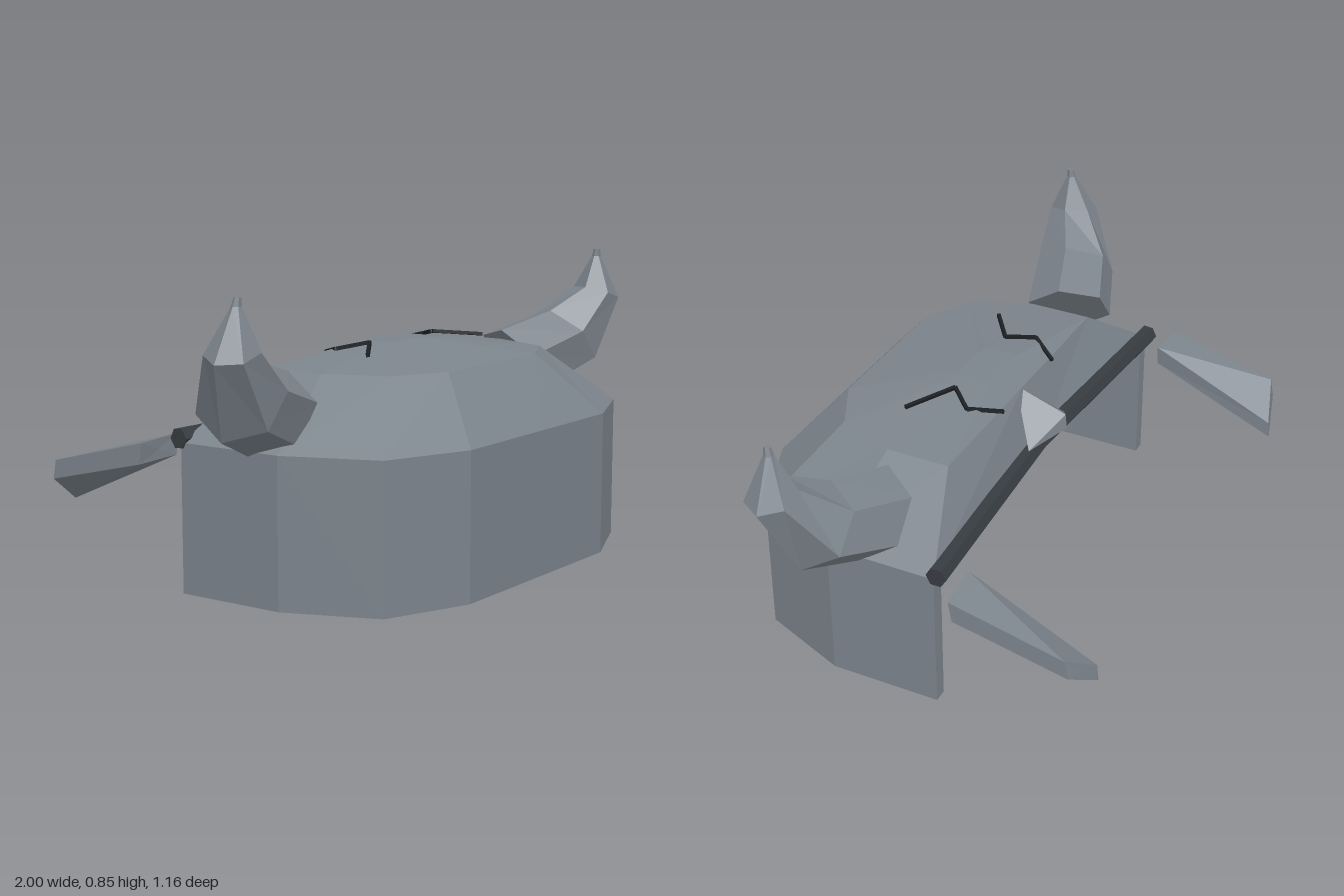
import * as THREE from 'three';
import { ConvexGeometry } from 'three/addons/geometries/ConvexGeometry.js';

const V = (x, y, z) => new THREE.Vector3(x, y, z);

// Closed loft through rings with equal point counts, wound to face outward
function loft(rings) {
  const n = rings[0].length, pts = rings.flat();
  const tris = [];
  for (let r = 0; r < rings.length - 1; r++) {
    for (let i = 0; i < n; i++) {
      const a = r * n + i, b = r * n + (i + 1) % n;
      tris.push([a, b, b + n], [a, b + n, a + n]);
    }
  }
  const cap = (r, flip) => {
    const c = rings[r].reduce((s, p) => s.add(p), V(0, 0, 0)).divideScalar(n);
    const k = pts.push(c) - 1;
    for (let i = 0; i < n; i++) {
      const a = r * n + i, b = r * n + (i + 1) % n;
      tris.push(flip ? [k, b, a] : [k, a, b]);
    }
  };
  cap(0, true);
  cap(rings.length - 1, false);
  let volume = 0;
  for (const [a, b, c] of tris) volume += pts[a].dot(pts[b].clone().cross(pts[c]));
  const out = [];
  for (const [a, b, c] of tris) {
    for (const i of volume < 0 ? [a, c, b] : [a, b, c]) out.push(...pts[i].toArray());
  }
  const g = new THREE.BufferGeometry();
  g.setAttribute('position', new THREE.Float32BufferAttribute(out, 3));
  g.computeVertexNormals();
  return g;
}

// Full ring from half a plan outline (front centre to back centre)
function mirroredRing(y, half) {
  const right = half.map(([x, z]) => V(x, y, z));
  const left = half.slice(1, -1).reverse().map(([x, z]) => V(-x, y, z));
  return [...right, ...left];
}

// Six-sided section at c, perpendicular to n
function section(c, n, radius, sides = 6) {
  const normal = V(...n).normalize();
  const u = V(0, 0, 1).addScaledVector(normal, -normal.z).normalize();
  const w = normal.clone().cross(u);
  return Array.from({ length: sides }, (_, i) => {
    const a = (i + 0.5) / sides * Math.PI * 2;
    return V(...c).addScaledVector(u, Math.cos(a) * radius).addScaledVector(w, Math.sin(a) * radius);
  });
}

export function createModel() {
  const model = new THREE.Group();
  const material = (name, color) => {
    const m = new THREE.MeshStandardMaterial({ color, flatShading: true });
    m.name = name;
    return m;
  };
  const steel = material('steel', 0x7c848c);
  const darkIron = material('darkIron', 0x363c40);
  const black = material('black', 0x1c2023);

  const add = (name, geometry, mat, parent = model) => {
    const mesh = new THREE.Mesh(geometry, mat);
    mesh.name = name;
    parent.add(mesh);
    return mesh;
  };
  const rod = (name, a, b, radius, sides, mat, parent) => {
    const d = b.clone().sub(a);
    const mesh = add(name, new THREE.CylinderGeometry(radius, radius, d.length(), sides), mat, parent);
    mesh.position.copy(a).add(b).multiplyScalar(0.5);
    mesh.quaternion.setFromUnitVectors(V(0, 1, 0), d.normalize());
  };

  // Faceted skirt wall, open at the back
  const outer = [[0.72, -0.12], [0.72, 0.21], [0.615, 0.475], [0.36, 0.578]];
  const inner = [[0.68, -0.12], [0.68, 0.2], [0.587, 0.445], [0.35, 0.538]];
  const across = (half) => [...half, ...half.map(([x, z]) => [-x, z]).reverse()];
  const outline = [...across(outer), ...across(inner).reverse()];
  const wall = new THREE.ExtrudeGeometry(
    new THREE.Shape(outline.map(([x, z]) => new THREE.Vector2(x, z))),
    { depth: 0.42, bevelEnabled: false });
  wall.rotateX(Math.PI / 2).translate(0, 0.42, 0);
  add('skirtWall', wall, steel);

  // Shallow faceted dome with a flat underside
  add('dome', loft([
    mirroredRing(0.42, [[0, 0.578], [0.36, 0.578], [0.615, 0.475], [0.72, 0.21], [0.72, -0.12], [0, -0.09]]),
    mirroredRing(0.6, [[0, 0.42], [0.23, 0.42], [0.39, 0.34], [0.46, 0.16], [0.46, -0.03], [0, -0.03]]),
    mirroredRing(0.645, [[0, 0.14], [0.05, 0.14], [0.08, 0.13], [0.09, 0.12], [0.09, 0.03], [0, 0.03]]),
  ]), steel);

  // Pointed guard at the middle of the back edge
  add('centreGuard', new ConvexGeometry([
    V(0, 0.6, -0.01), V(0, 0.545, -0.17), V(0, 0.5, -0.175),
    V(0, 0.46, -0.12), V(0.12, 0.47, -0.11), V(-0.12, 0.47, -0.11),
  ]), steel);

  for (const s of [1, -1]) {
    const side = s > 0 ? 'left' : 'right';

    // Curved horn
    const horn = [
      [[0.63, 0.51, 0.11], [0.74, 0.6, 0.3], 0.135],
      [[0.82, 0.57, 0.175], [0.72, 0.64, 0.2], 0.125],
      [[0.927, 0.712, 0.235], [0.28, 0.95, 0.1], 0.074],
      [[0.915, 0.83, 0.24], [0, 1, 0], 0.014],
      [[0.913, 0.853, 0.243], [0, 1, 0], 0.01],
    ];
    add(side + 'Horn', loft(horn.map(([c, n, r]) =>
      section(c, n, r).map((p) => V(p.x * s, p.y, p.z)))), steel);

    // Slanted cheek plate
    add(side + 'CheekPlate', loft([
      [V(0.655 * s, 0.43, -0.19), V(0.79 * s, 0.42, -0.2), V(0.79 * s, 0.36, -0.21), V(0.66 * s, 0.37, -0.19)],
      [V(0.66 * s, 0.25, -0.575), V(0.78 * s, 0.335, -0.535), V(0.78 * s, 0.28, -0.545), V(0.66 * s, 0.2, -0.58)],
    ]), steel);

    // Half of the rim bar
    rod(side + 'RimBar', V(0, 0.43, -0.085), V(0.722 * s, 0.43, -0.128), 0.03, 6, darkIron);

    // Zigzag crack on the dome
    const crack = new THREE.Group();
    crack.name = side + 'Crack';
    model.add(crack);
    const path = [[0.16, 0.612, -0.05], [0.225, 0.634, 0.035], [0.16, 0.651, 0.105], [0.295, 0.635, 0.195]]
      .map(([x, y, z]) => V(x * s, y, z));
    for (let i = 0; i < 3; i++) rod('crackSegment', path[i], path[i + 1], 0.007, 4, black, crack);
  }
  return model;
}
